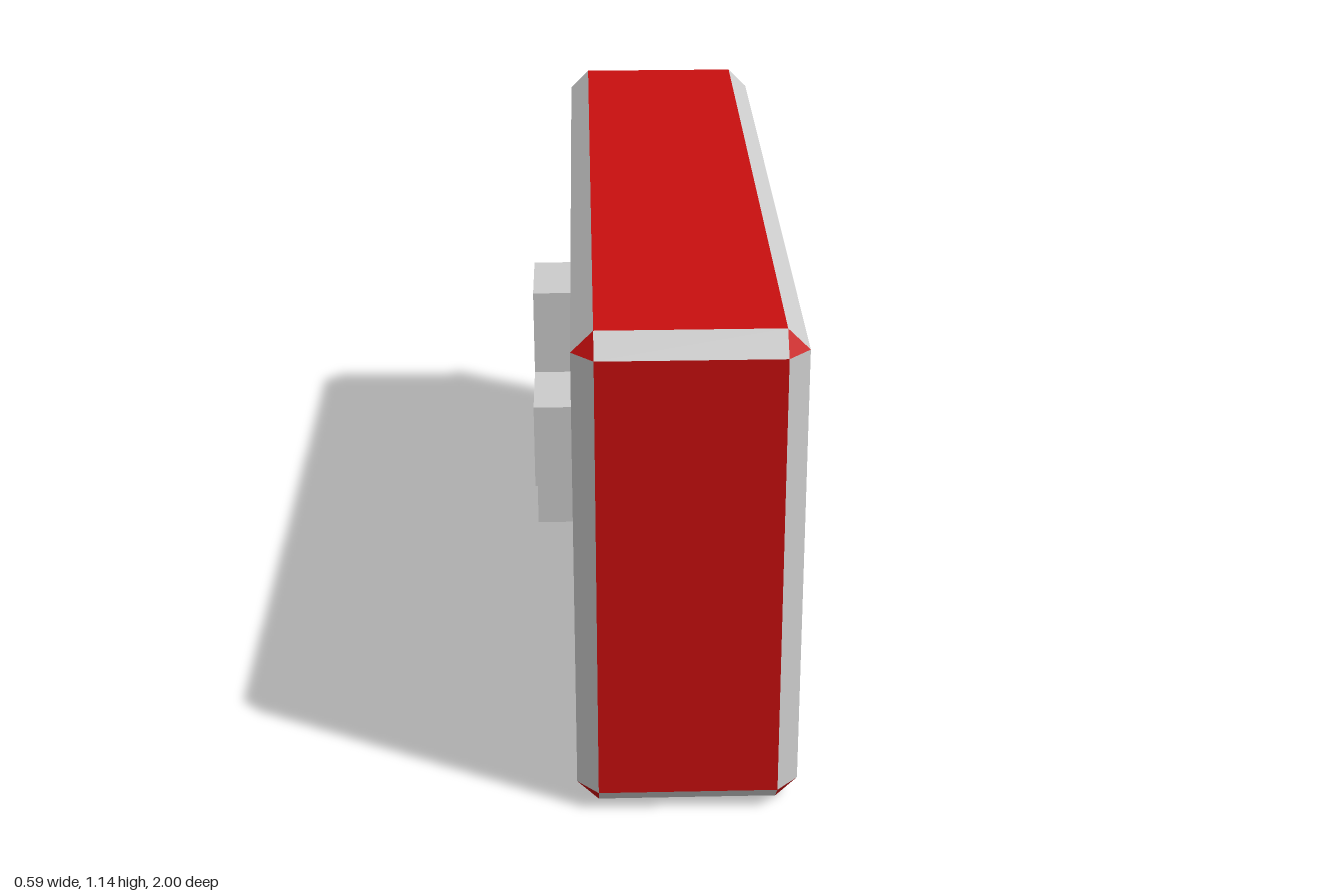
import * as THREE from 'three';

const HALF = [0.2475, 0.5725, 1]; // half extents of the case
const CENTRE = [0.0475, 0.5725, 0];
const BEVEL = 0.048;
const SIGNS = [-1, 1];

// Corner point lying on the face of the given axis, inset along the other two
function point(axis, signs) {
  return new THREE.Vector3(...HALF.map((h, i) => signs[i] * (i === axis ? h : h - BEVEL)));
}

// Adds a convex polygon as a fan, wound to face away from the case centre
function addPolygon(out, pts) {
  const normal = new THREE.Vector3().crossVectors(
    pts[1].clone().sub(pts[0]), pts[2].clone().sub(pts[0]));
  if (normal.dot(pts[0]) < 0) pts = pts.slice().reverse();
  for (let i = 1; i < pts.length - 1; i++) {
    for (const p of [pts[0], pts[i], pts[i + 1]]) out.push(p.x, p.y, p.z);
  }
}

function makeMesh(name, positions, material) {
  const geometry = new THREE.BufferGeometry();
  geometry.setAttribute('position', new THREE.Float32BufferAttribute(positions, 3));
  geometry.computeVertexNormals();
  const mesh = new THREE.Mesh(geometry, material);
  mesh.name = name;
  return mesh;
}

export function createModel() {
  const group = new THREE.Group();
  group.name = 'firstAidCase';
  const red = new THREE.MeshStandardMaterial({ color: 0xc80f0f, flatShading: true });
  const grey = new THREE.MeshStandardMaterial({ color: 0xcccccc, flatShading: true });

  const panels = [], trims = [], corners = [];
  for (let a = 0; a < 3; a++) {
    const b = (a + 1) % 3, c = (a + 2) % 3;
    const signs = (sa, sb, sc) => {
      const s = [];
      s[a] = sa; s[b] = sb; s[c] = sc;
      return s;
    };
    // Flat panels
    for (const s of SIGNS) {
      addPolygon(panels, [[-1, -1], [1, -1], [1, 1], [-1, 1]]
        .map(([sb, sc]) => point(a, signs(s, sb, sc))));
    }
    // Bevelled edge strips running along axis a
    for (const sb of SIGNS) for (const sc of SIGNS) {
      addPolygon(trims, [
        point(b, signs(-1, sb, sc)), point(b, signs(1, sb, sc)),
        point(c, signs(1, sb, sc)), point(c, signs(-1, sb, sc)),
      ]);
    }
  }
  // Corner triangles
  for (const x of SIGNS) for (const y of SIGNS) for (const z of SIGNS) {
    addPolygon(corners, [0, 1, 2].map(axis => point(axis, [x, y, z])));
  }

  const body = new THREE.Group();
  body.name = 'case';
  body.position.set(...CENTRE);
  body.add(
    makeMesh('casePanels', panels, red),
    makeMesh('edgeTrim', trims, grey),
    makeMesh('caseCorners', corners, red),
  );
  group.add(body);

  // Raised cross on the right side
  const r = 0.315, w = 0.105;
  const outline = [
    [w, -r], [w, -w], [r, -w], [r, w], [w, w], [w, r],
    [-w, r], [-w, w], [-r, w], [-r, -w], [-w, -w], [-w, -r],
  ].map(([x, y]) => new THREE.Vector2(x, y));
  const cross = new THREE.Mesh(
    new THREE.ExtrudeGeometry(new THREE.Shape(outline), { depth: 0.095, bevelEnabled: false }), grey);
  cross.name = 'cross';
  cross.rotation.y = -Math.PI / 2;
  cross.position.set(CENTRE[0] - HALF[0], 0.575, 0);
  group.add(cross);

  return group;
}
